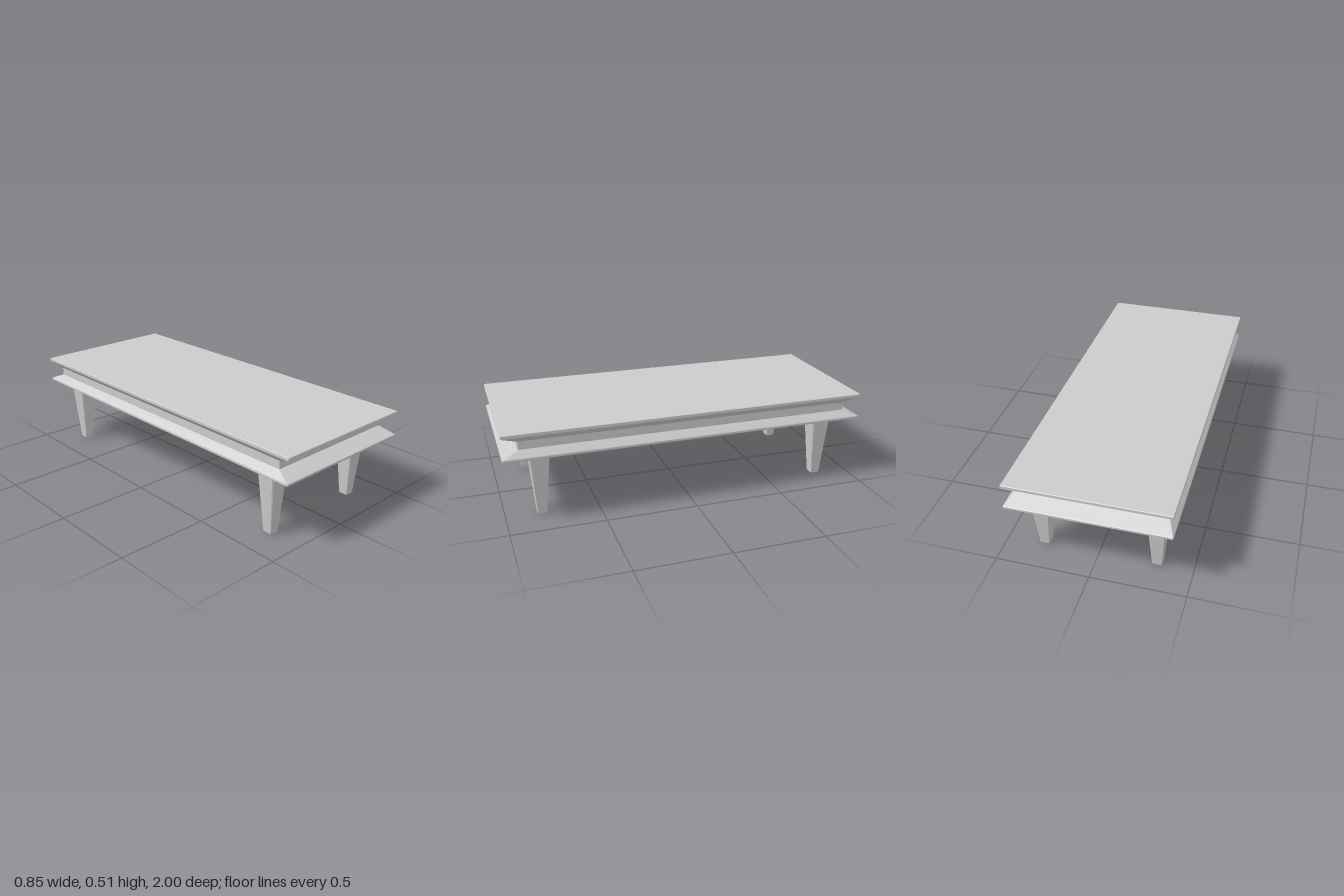
import * as THREE from 'three';

const material = new THREE.MeshStandardMaterial({ color: 0xcccccc, flatShading: true });

// Lofts chamfered rectangles upwards; each ring is [y, half width, half depth, corner chamfer].
function loft(name, rings) {
  const positions = [];
  for (const [y, w, d, c] of rings) {
    const outline = [
      [w, d - c], [w, c - d], [w - c, -d], [c - w, -d],
      [-w, c - d], [-w, d - c], [c - w, d], [w - c, d],
    ];
    for (const [x, z] of outline) positions.push(x, y, z);
  }
  const index = [];
  const last = (rings.length - 1) * 8;
  for (let r = 0; r < last; r += 8) {
    for (let i = 0; i < 8; i++) {
      const a = r + i, b = r + (i + 1) % 8;
      index.push(a, b, b + 8, a, b + 8, a + 8);
    }
  }
  // End caps
  for (let i = 1; i < 7; i++) {
    index.push(0, i + 1, i, last, last + i, last + i + 1);
  }
  const indexed = new THREE.BufferGeometry();
  indexed.setAttribute('position', new THREE.Float32BufferAttribute(positions, 3));
  indexed.setIndex(index);
  const geometry = indexed.toNonIndexed();
  geometry.computeVertexNormals();
  const mesh = new THREE.Mesh(geometry, material);
  mesh.name = name;
  return mesh;
}

export function createModel() {
  const table = new THREE.Group();
  table.name = 'lowTable';

  // Top slab with a tapered groove around its rim
  table.add(loft('tableTop', [
    [0.360, 0.420, 0.997, 0.003],
    [0.363, 0.423, 1.000, 0.003],
    [0.373, 0.423, 1.000, 0.003],
    [0.376, 0.421, 0.995, 0.003],
    [0.410, 0.388, 0.917, 0.003],
    [0.454, 0.388, 0.917, 0.003],
    [0.486, 0.421, 0.995, 0.003],
    [0.489, 0.423, 1.000, 0.003],
    [0.503, 0.423, 1.000, 0.003],
    [0.506, 0.420, 0.997, 0.003],
  ]));

  // Four tapered legs with chamfered edges
  for (const [side, x] of [['left', 0.297], ['right', -0.31]]) {
    for (const [end, z] of [['Front', 0.807], ['Back', -0.807]]) {
      const leg = loft(side + end + 'Leg', [
        [0.000, 0.023, 0.023, 0.003],
        [0.004, 0.026, 0.026, 0.003],
        [0.361, 0.0545, 0.0545, 0.006],
      ]);
      leg.position.set(x, 0, z);
      table.add(leg);
    }
  }
  return table;
}
